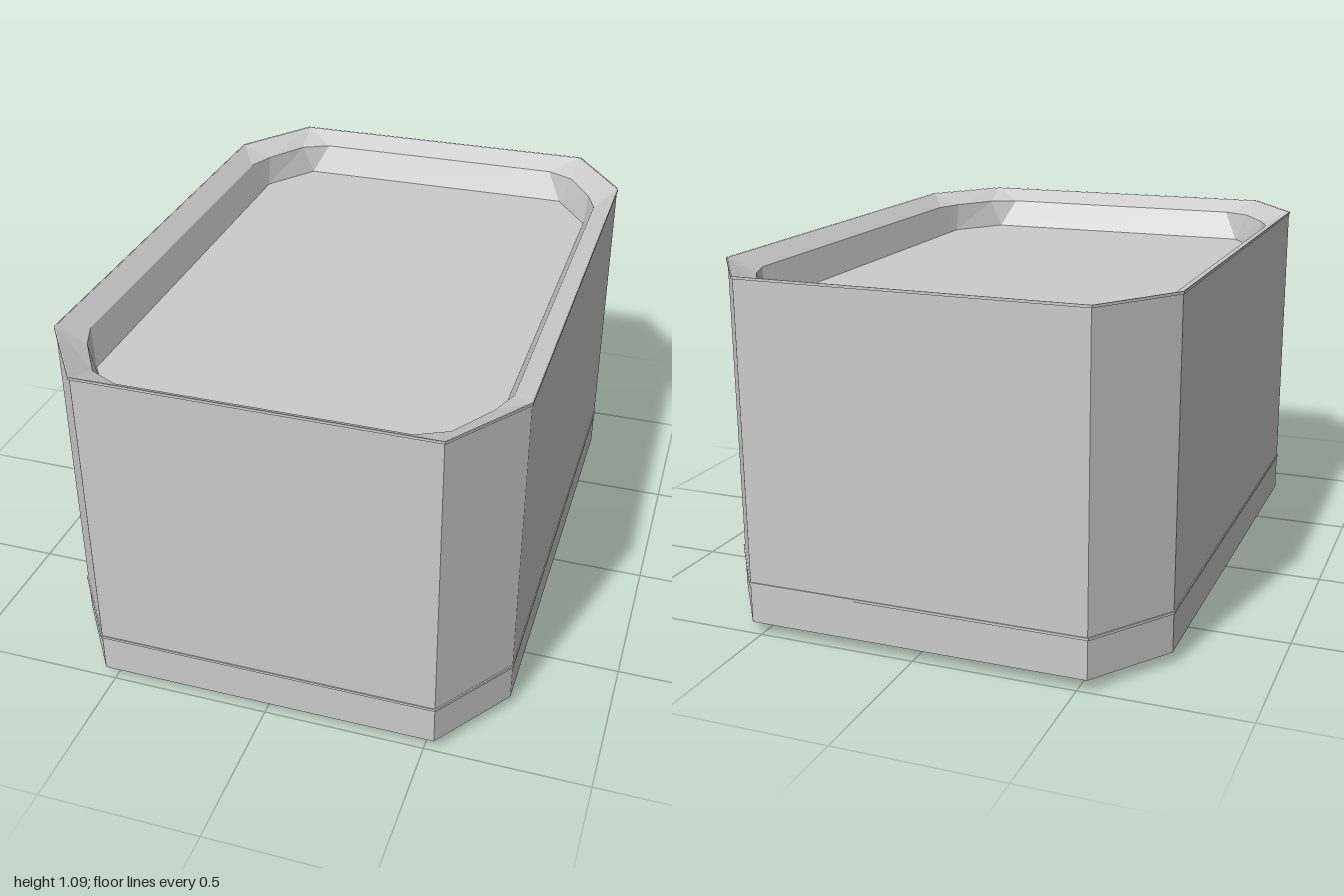
import * as THREE from 'three';

const material = new THREE.MeshStandardMaterial({ color: 0xcccccc, flatShading: true });

// One corner runs front to side as four [x, z] points; mirrored into a full outline at height y.
function outline(y, corner) {
  const back = [...corner].reverse();
  return [
    ...corner.map(([x, z]) => [x, y, z]),
    ...back.map(([x, z]) => [x, y, -z]),
    ...corner.map(([x, z]) => [-x, y, -z]),
    ...back.map(([x, z]) => [-x, y, z]),
  ];
}

// Plain chamfered corner: a and b are the two ends of the chamfer.
const chamfer = (a, b) => [a, a, b, b];
const grow = (corner, d) => corner.map(([x, z]) => [x + d, z + d]);

// Skin consecutive outlines with flat facets, leaving out collapsed triangles.
function loft(name, rings) {
  const positions = [];
  const p = new THREE.Vector3(), q = new THREE.Vector3(), r = new THREE.Vector3();
  const triangle = (a, b, c) => {
    p.fromArray(a); q.fromArray(b).sub(p); r.fromArray(c).sub(p);
    if (q.cross(r).length() > 1e-8) positions.push(...a, ...b, ...c);
  };
  for (let k = 0; k + 1 < rings.length; k++) {
    const lo = rings[k], hi = rings[k + 1];
    for (let i = 0; i < lo.length; i++) {
      const j = (i + 1) % lo.length;
      triangle(lo[i], lo[j], hi[j]);
      triangle(lo[i], hi[j], hi[i]);
    }
  }
  const geometry = new THREE.BufferGeometry();
  geometry.setAttribute('position', new THREE.Float32BufferAttribute(positions, 3));
  geometry.computeVertexNormals();
  const mesh = new THREE.Mesh(geometry, material);
  mesh.name = name;
  return mesh;
}

export function createModel() {
  const group = new THREE.Group();
  group.name = 'chamferedContainer';

  const wall = chamfer([0.53, 0.997], [0.705, 0.747]);
  const ledge = [[0.43, 0.93], [0.52, 0.885], [0.605, 0.75], [0.64, 0.66]];
  const floor = chamfer([0.48, 0.89], [0.6, 0.72]);
  const foot = chamfer([0.465, 0.88], [0.59, 0.71]);
  const centre = chamfer([0, 0], [0, 0]);

  // Bevelled foot plate
  group.add(loft('footPlate', [
    outline(0, centre),
    outline(0, foot),
    outline(0.025, grow(foot, 0.033)),
    outline(0.085, ledge),
  ]));

  // Sloped groove between the foot and the lower skirt
  group.add(loft('skirtUnderside', [outline(0.085, ledge), outline(0.035, wall)]));

  // Outer walls
  group.add(loft('outerWall', [outline(0.035, wall), outline(1.09, wall)]));

  // Bevelled rim and shallow tray sunk into the top
  group.add(loft('topRim', [outline(1.09, wall), outline(1.05, ledge)]));
  group.add(loft('trayWall', [outline(1.05, ledge), outline(0.955, floor)]));
  group.add(loft('trayFloor', [outline(0.955, floor), outline(0.955, centre)]));

  // Thin raised bands around the wall
  for (const [name, y, h] of [['lowerTrim', 0.156, 0.008], ['upperTrim', 1.083, 0.008]]) {
    const raised = grow(wall, 0.003);
    group.add(loft(name, [
      outline(y, wall), outline(y, raised), outline(y + h, raised), outline(y + h, wall),
    ]));
  }
  return group;
}
